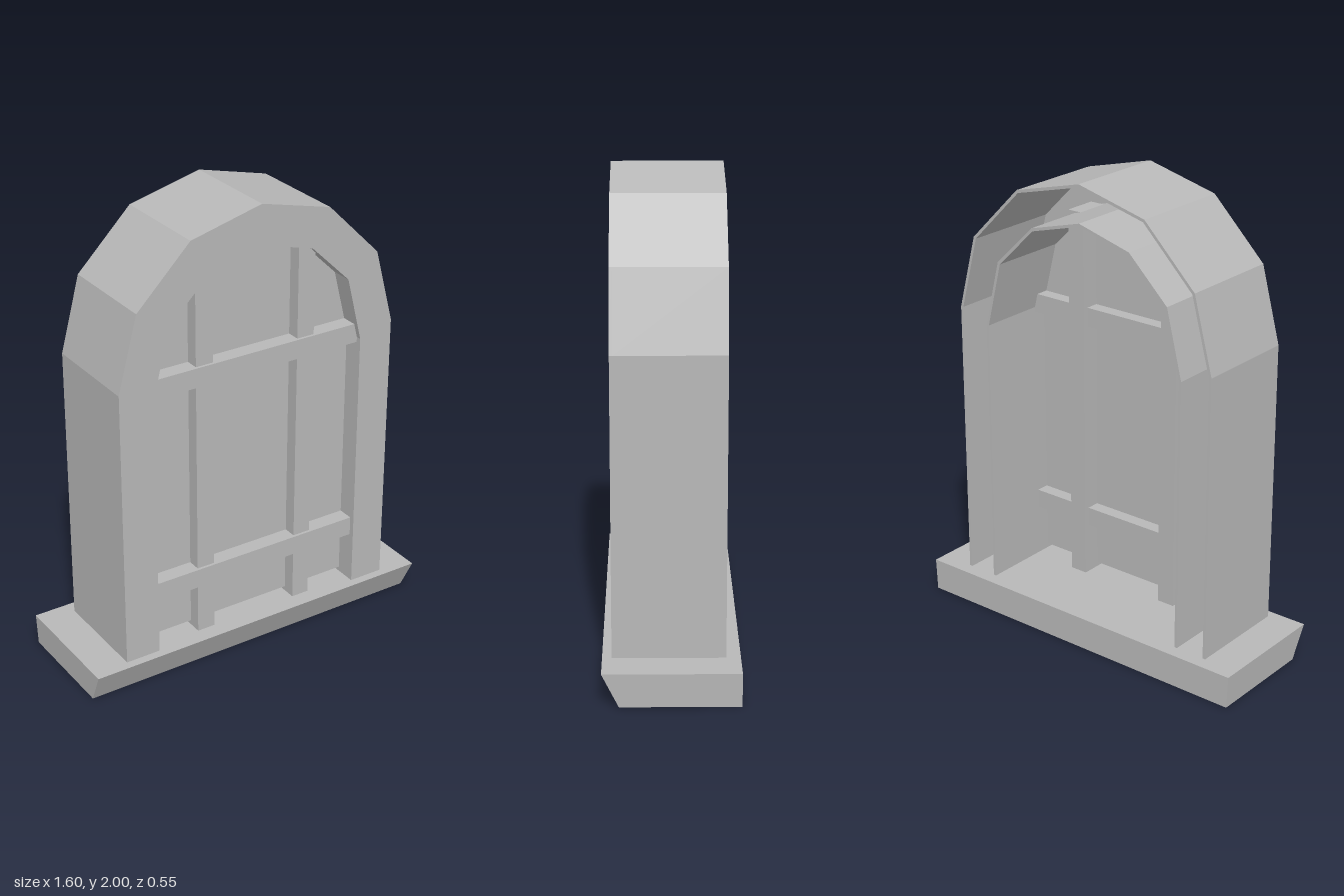
import * as THREE from 'three';

const BASE = 0.14; // top of the sill, where the arch stands
const WALL = 0.013;

// Half profiles of the arch, from the springing point to the crown
const OUTER = [[0.645, 1.36], [0.56, 1.68], [0.32, 1.92], [0, 2]];
const INNER = [[0.49, 1.31], [0.42, 1.59], [0.24, 1.765], [0, 1.83]];

// Grow (or shrink) a half profile by t
function offset(profile, t) {
  const [w, y0] = profile[0];
  const h = profile[3][1] - y0;
  return profile.map(([x, y]) => [x + t * x / w, y + t * (y - y0) / h]);
}

// Mirrored outline running from the right foot over the crown to the left foot
function outline(profile, bottom) {
  const half = [[profile[0][0], bottom], ...profile];
  const mirrored = half.slice(0, -1).reverse().map(([x, y]) => [-x, y]);
  return [...half, ...mirrored].map(([x, y]) => new THREE.Vector2(x, y));
}

function extrude(points, zBack, zFront) {
  const geometry = new THREE.ExtrudeGeometry(new THREE.Shape(points), {
    depth: zFront - zBack, bevelEnabled: false,
  });
  return geometry.translate(0, 0, zBack);
}

// Arched band between two half profiles, open at the foot
function archBand(outer, inner, zBack, zFront) {
  return extrude([...outline(outer, BASE), ...outline(inner, BASE).reverse()], zBack, zFront);
}

export function createModel() {
  const model = new THREE.Group();
  model.name = 'archedWindow';
  const stone = new THREE.MeshStandardMaterial({ color: 0xb8b8b8, flatShading: true });
  stone.name = 'lightGrey';

  const add = (name, geometry) => {
    const mesh = new THREE.Mesh(geometry, stone);
    mesh.name = name;
    model.add(mesh);
    return mesh;
  };
  const addBox = (name, [x0, x1], [y0, y1], [z0, z1]) => {
    const mesh = add(name, new THREE.BoxGeometry(x1 - x0, y1 - y0, z1 - z0));
    mesh.position.set((x0 + x1) / 2, (y0 + y1) / 2, (z0 + z1) / 2);
  };

  // Sill with an undercut front and slightly tapered ends
  const sill = new THREE.BoxGeometry(1.6, BASE, 0.545);
  sill.translate(0, BASE / 2, 0);
  const p = sill.attributes.position;
  for (let i = 0; i < p.count; i++) {
    if (p.getY(i) < 0.01) {
      p.setX(i, p.getX(i) * 0.992);
      if (p.getZ(i) > 0) p.setZ(i, 0.205);
    }
  }
  sill.computeVertexNormals();
  add('sill', sill);

  // Hollow frame: a front face with an outer and an inner wall, open at the back
  const front = 0.235, back = -0.215, faceBack = front - WALL;
  add('frameFace', archBand(OUTER, INNER, faceBack, front));
  add('frameOuterWall', archBand(OUTER, offset(OUTER, -WALL), back, faceBack));
  add('frameInnerWall', archBand(offset(INNER, WALL), INNER, back, faceBack));

  // Pane, raised a little above the sill
  add('pane', extrude(outline(INNER, 0.16), 0.133, 0.142));

  // Bars pass through the pane
  for (const side of [-1, 1]) {
    addBox('verticalBar', [side * 0.24 - 0.04, side * 0.24 + 0.04], [BASE, 1.785], [0.053, 0.2]);
  }
  for (const y of [0.365, 1.288]) {
    addBox('horizontalBar', [-0.492, 0.492], [y, y + 0.084], [0.075, 0.212]);
  }
  return model;
}
